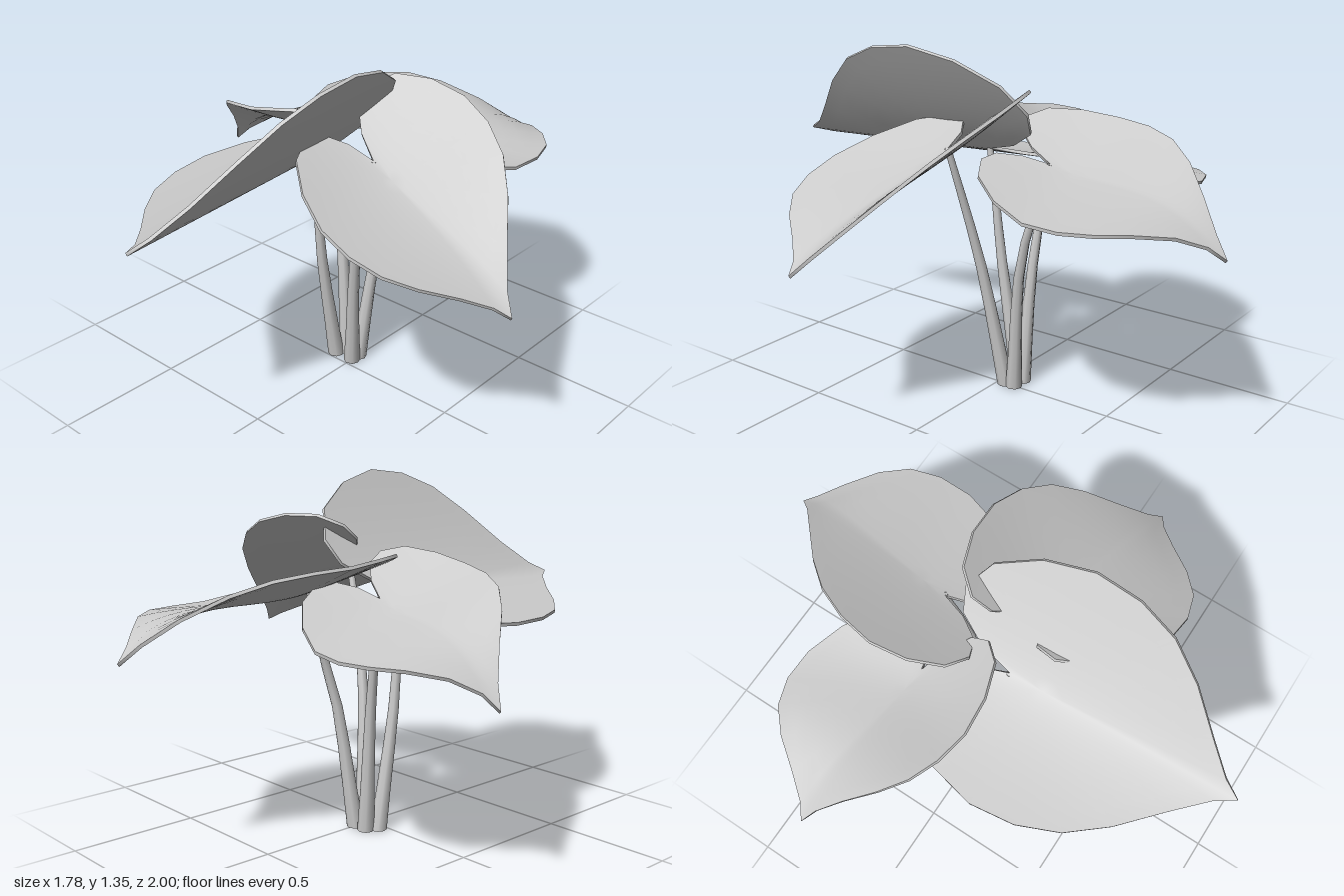
import * as THREE from 'three';
import { mergeGeometries } from 'three/addons/utils/BufferGeometryUtils.js';

const material = new THREE.MeshStandardMaterial({ color: 0xcccccc, side: THREE.DoubleSide });
const vec = (a) => new THREE.Vector3(...a);

// Half of the heart outline: [across, along], from the notch around the lobe to the tip
const HALF = [[0, 0], [0.09, -0.15], [0.25, -0.27], [0.45, -0.3], [0.7, -0.23], [0.9, -0.06], [1, 0.14],
  [0.97, 0.33], [0.85, 0.5], [0.63, 0.65], [0.33, 0.8], [0.1, 0.92], [0, 1]];
const OUTLINE = [...HALF, ...HALF.slice(1, -1).reverse().map(([v, u]) => [-v, u])];
const RINGS = 9, THICKNESS = 0.012, CENTRE = 0.15;

function indexedGeometry(points, index) {
  const g = new THREE.BufferGeometry();
  g.setAttribute('position', new THREE.Float32BufferAttribute(points.flatMap((p) => p.toArray()), 3));
  g.setIndex(index);
  g.computeVertexNormals();
  return g;
}

// Leaf: a rib from base to tip, raised by arch, with one displacement for each side edge
function makeLeaf({ base, tip, high, low, arch }) {
  const B = vec(base), T = vec(tip), H = vec(high), L = vec(low);
  const linear = H.clone().sub(L).multiplyScalar(0.5);
  const fold = H.clone().add(L).multiplyScalar(0.5);
  const surface = (v, u) => {
    const p = B.clone().lerp(T, u);
    if (u > 0) p.y += arch * 6.75 * u * u * (1 - u);
    return p.addScaledVector(linear, v).addScaledVector(fold, Math.abs(v) ** 1.3);
  };

  // Upper face: rings growing from the rib out to the outline
  const n = OUTLINE.length;
  const points = [surface(0, CENTRE)], index = [];
  for (let r = 1; r <= RINGS; r++) {
    const s = r / RINGS;
    for (const [v, u] of OUTLINE) points.push(surface(v * s, CENTRE + (u - CENTRE) * s));
  }
  for (let j = 0; j < n; j++) {
    const k = (j + 1) % n;
    index.push(0, 1 + k, 1 + j);
    for (let r = 0; r < RINGS - 1; r++) {
      const a = 1 + r * n, b = a + n;
      index.push(a + j, a + k, b + j, a + k, b + k, b + j);
    }
  }
  const upper = indexedGeometry(points, index);

  // Lower face: the upper one shifted along its normals and reversed
  const normals = upper.attributes.normal;
  const under = points.map((p, i) =>
    p.clone().addScaledVector(new THREE.Vector3().fromBufferAttribute(normals, i), -THICKNESS));
  const lower = indexedGeometry(under, index.slice().reverse());

  // Rim closing the two faces
  const first = points.length - n, rimIndex = [];
  for (let j = 0; j < n; j++) {
    const k = (j + 1) % n;
    rimIndex.push(j, k, n + j, k, n + k, n + j);
  }
  const rim = indexedGeometry([...points.slice(first), ...under.slice(first)], rimIndex);
  return mergeGeometries([upper, lower, rim].map((g) => g.toNonIndexed()));
}

// Stem: a tapering tube with a closed foot
function makeStem(path) {
  const curve = new THREE.CatmullRomCurve3(path.map(vec));
  const segments = 6, sides = 8;
  const tube = new THREE.TubeGeometry(curve, segments, 1, sides);
  const pos = tube.attributes.position, p = new THREE.Vector3();
  for (let i = 0; i < pos.count; i++) {
    const t = Math.floor(i / (sides + 1)) / segments;
    const c = curve.getPointAt(t);
    p.fromBufferAttribute(pos, i).sub(c).multiplyScalar(0.033 - 0.021 * t ** 0.7).add(c);
    if (t === 0) p.y = 0;
    pos.setXYZ(i, p.x, p.y, p.z);
  }
  const foot = new THREE.CircleGeometry(0.033, sides).rotateX(Math.PI / 2).translate(...path[0]);
  return mergeGeometries([tube, foot]);
}

const LEAVES = [
  { name: 'front', base: [-0.08, 0.93, 0.1], tip: [-0.03, 0.9, 1], arch: 0,
    high: [0.31, 0.42, 0], low: [-0.46, -0.09, 0],
    stem: [[-0.085, 0, -0.033], [-0.085, 0.5, 0.05], [-0.08, 0.75, 0.075]] },
  { name: 'left', base: [0.2, 0.98, 0.08], tip: [0.89, 0.67, 0.2], arch: 0.03,
    high: [0.05, 0.23, -0.34], low: [0.05, -0.02, 0.41],
    stem: [[0, 0, -0.035], [0.07, 0.5, 0.03], [0.13, 0.75, 0.06]] },
  { name: 'back', base: [0.04, 0.94, -0.26], tip: [0.13, 0.76, -1], arch: 0.08,
    high: [-0.34, 0.14, 0.02], low: [0.41, -0.06, -0.07],
    stem: [[0, 0, -0.075], [0.045, 0.5, -0.13], [0.06, 0.68, -0.18]] },
  { name: 'right', base: [-0.24, 0.93, -0.17], tip: [-0.89, 0.67, -0.27], arch: 0.09,
    high: [-0.05, 0.14, 0.295], low: [-0.05, -0.08, -0.4],
    stem: [[-0.06, 0, -0.075], [-0.105, 0.5, -0.09], [-0.15, 0.73, -0.11]] },
];

export function createModel() {
  const model = new THREE.Group();
  model.name = 'leafyPlant';
  for (const leaf of LEAVES) {
    const blade = new THREE.Mesh(makeLeaf(leaf), material);
    blade.name = `${leaf.name}Leaf`;
    const stem = new THREE.Mesh(makeStem([...leaf.stem, leaf.base]), material);
    stem.name = `${leaf.name}Stem`;
    model.add(blade, stem);
  }
  return model;
}
